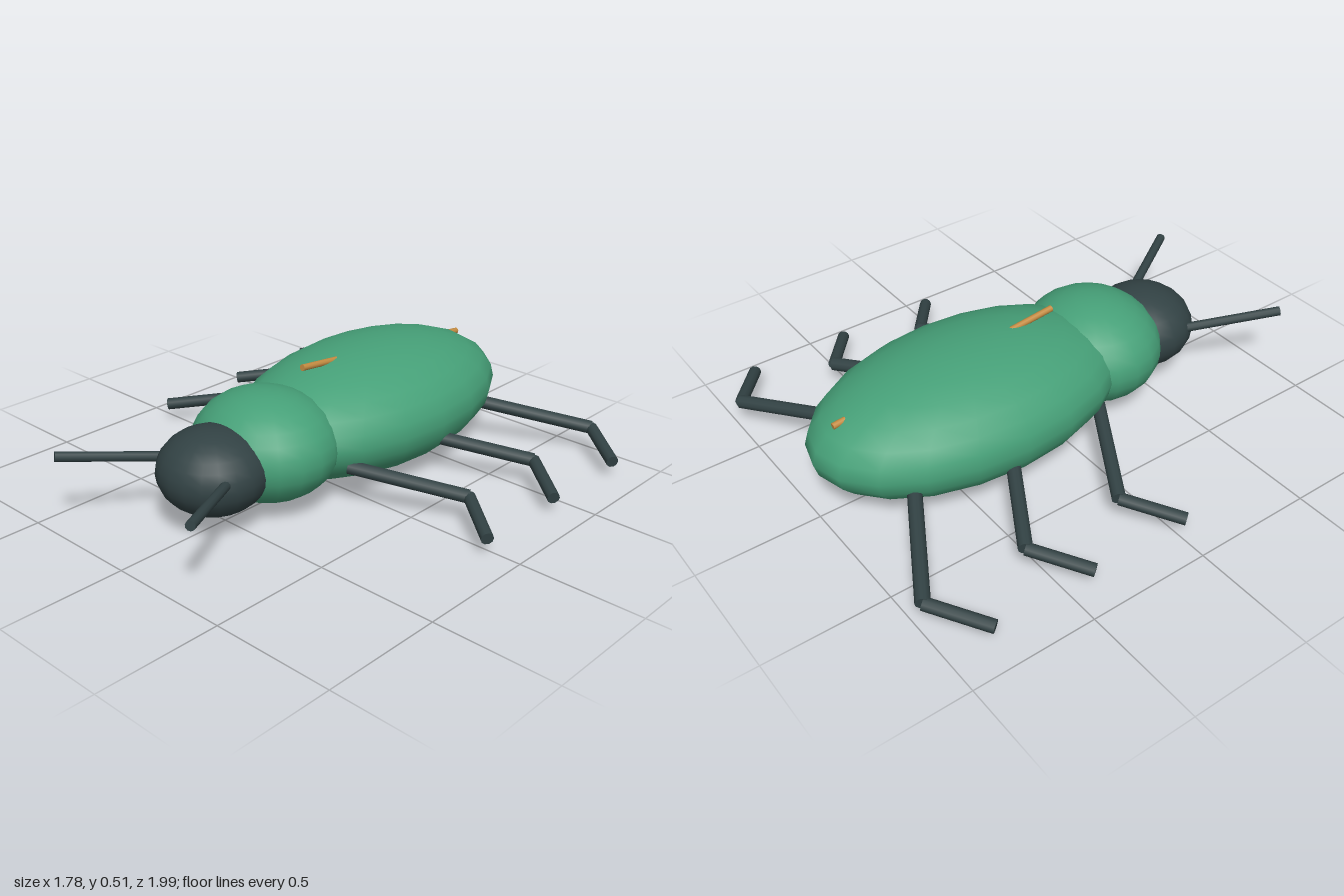
import * as THREE from 'three';

export function createModel() {
  const beetle = new THREE.Group();
  beetle.name = 'beetle';

  const mat = (name, color) => {
    const m = new THREE.MeshStandardMaterial({ color });
    m.name = name;
    return m;
  };
  const green = mat('shellGreen', 0x46a078);
  const dark = mat('darkSlate', 0x324244);
  const gold = mat('gold', 0xc48c42);

  const add = (parent, name, geometry, material) => {
    const mesh = new THREE.Mesh(geometry, material);
    mesh.name = name;
    parent.add(mesh);
    return mesh;
  };

  // Ellipsoid from a centre and its half sizes
  const ellipsoid = (name, centre, radii, material) => {
    const geometry = new THREE.SphereGeometry(1, 20, 14).scale(...radii);
    add(beetle, name, geometry, material).position.set(...centre);
  };

  // Straight rod between two points
  const rod = (parent, name, from, to, radius, material) => {
    const a = new THREE.Vector3(...from);
    const b = new THREE.Vector3(...to);
    const dir = b.clone().sub(a);
    const mesh = add(parent, name, new THREE.CylinderGeometry(radius, radius, dir.length(), 10), material);
    mesh.position.copy(a).add(b).multiplyScalar(0.5);
    mesh.quaternion.setFromUnitVectors(new THREE.Vector3(0, 1, 0), dir.normalize());
  };

  // Body segments
  ellipsoid('abdomen', [0, 0.255, -0.32], [0.4, 0.25, 0.68], green);
  ellipsoid('thorax', [0, 0.257, 0.28], [0.3, 0.216, 0.28], green);
  ellipsoid('head', [0, 0.24, 0.55], [0.217, 0.165, 0.215], dark);

  // Seam along the wing cases, showing only at both ends
  rod(beetle, 'wingSeam', [0, 0.503, 0.075], [0, 0.391, -0.905], 0.013, gold);

  for (const side of [1, -1]) {
    const sideName = side > 0 ? 'left' : 'right';

    // Three legs, each a thigh and a shin
    ['Front', 'Middle', 'Rear'].forEach((place, i) => {
      const leg = new THREE.Group();
      leg.name = `${sideName}${place}Leg`;
      const z = 0.105 - i * 0.425;
      const knee = [side * 0.675, 0.11, z - 0.23];
      rod(leg, 'thigh', [side * 0.27, 0.18, z], knee, 0.028, dark);
      rod(leg, 'shin', knee, [side * 0.875, 0.072, z - 0.075], 0.025, dark);
      beetle.add(leg);
    });

    // Antenna
    rod(beetle, `${sideName}Antenna`, [side * 0.175, 0.27, 0.65], [side * 0.37, 0.322, 0.985], 0.019, dark);
  }

  return beetle;
}
